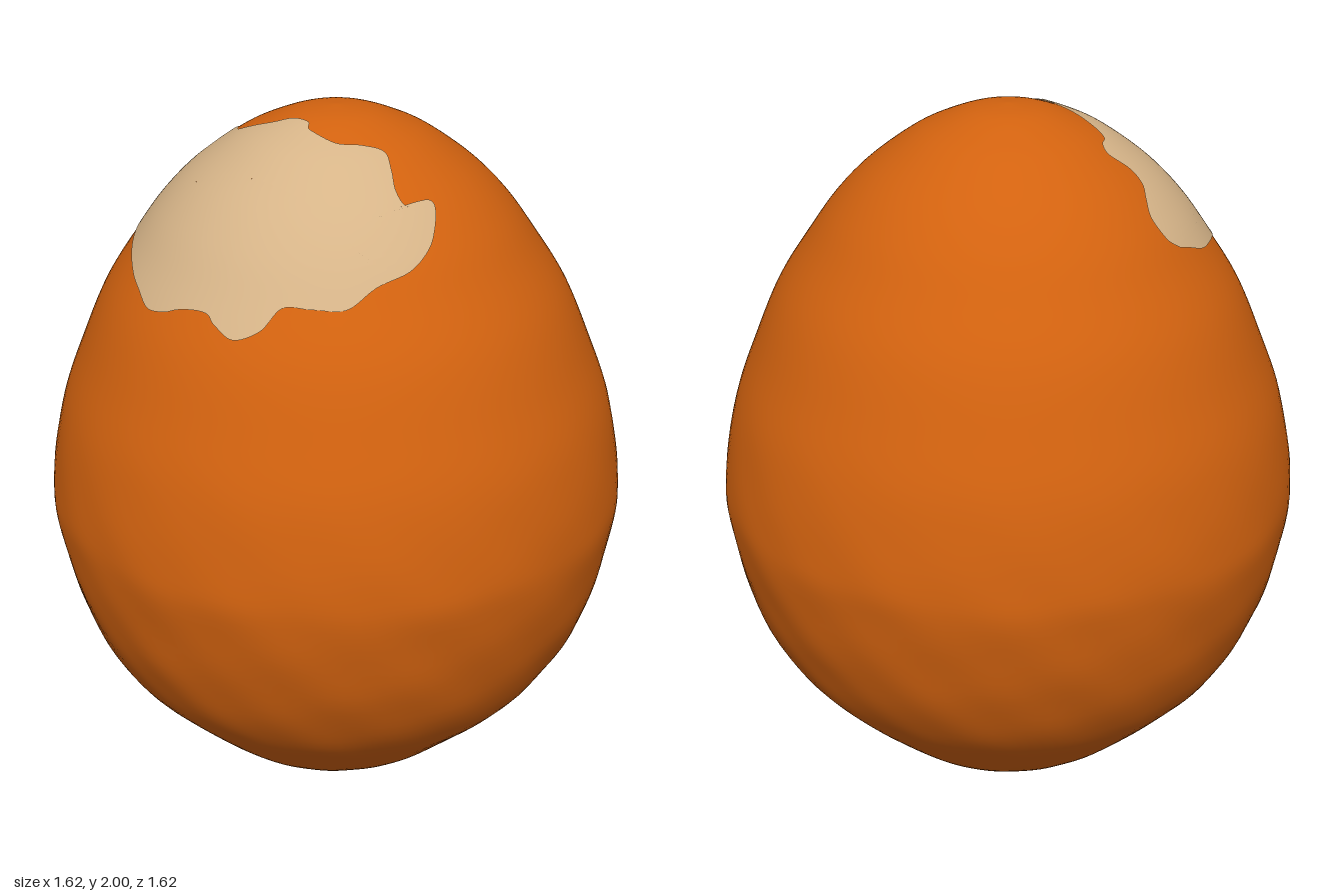
import * as THREE from 'three';
import { mergeVertices } from 'three/addons/utils/BufferGeometryUtils.js';

const toVectors = (pairs) => pairs.map(([a, b]) => new THREE.Vector2(a, b));

// Egg profile: radius, height
const profile = new THREE.SplineCurve(toVectors([
  [0, 0], [0.12, 0.008], [0.22, 0.035], [0.34, 0.1], [0.47, 0.21], [0.65, 0.4],
  [0.75, 0.6], [0.802, 0.83], [0.804, 0.97], [0.767, 1.17], [0.705, 1.34],
  [0.635, 1.5], [0.545, 1.64], [0.475, 1.737], [0.39, 1.825], [0.28, 1.908],
  [0.2, 1.951], [0.1, 1.988], [0, 2],
])).getPoints(108);

// Patch outline seen from above: x, z
const outline = new THREE.SplineCurve(toVectors([
  [-0.49, 0.16], [-0.48, 0.12], [-0.44, 0.1], [-0.4, 0.12], [-0.36, 0.145], [-0.32, 0.14],
  [-0.28, 0.1], [-0.245, 0.11], [-0.21, 0.145], [-0.105, 0.145], [-0.045, 0.125], [0.01, 0.13],
  [0.035, 0.155], [0.12, 0.16], [0.175, 0.12], [0.225, 0.09], [0.27, 0.12], [0.31, 0.155],
  [0.35, 0.16], [0.365, 0.1], [0.385, 0.09], [0.415, 0.13], [0.435, 0.185], [0.43, 0.26],
  [0.39, 0.345], [0.355, 0.42], [0.285, 0.47], [0.22, 0.505], [0.19, 0.555], [0.13, 0.59],
  [0.065, 0.585], [0.03, 0.575], [-0.055, 0.58], [-0.105, 0.585], [-0.17, 0.575],
  [-0.235, 0.535], [-0.295, 0.49], [-0.365, 0.42], [-0.43, 0.335], [-0.47, 0.26], [-0.49, 0.16],
])).getPoints(240);

// Height of the upper egg surface at a given radius
function topHeight(r) {
  for (let i = profile.length - 1; i > 0; i--) {
    const a = profile[i], b = profile[i - 1];
    if (r <= b.x) return THREE.MathUtils.mapLinear(r, a.x, b.x, a.y, b.y);
  }
  return 1;
}

// Shallow uneven dents, strongest around the lower half
function bump(angle, y) {
  const fade = 1 - THREE.MathUtils.smoothstep(y, 0.5, 1.4);
  const waves = Math.sin(5 * angle + 7 * y) * Math.sin(9 * y + 2 * angle)
    + 0.6 * Math.sin(11 * angle - 13 * y) * Math.sin(17 * y + 3 * angle)
    + 0.4 * Math.sin(19 * angle + 23 * y);
  return 1 + 0.004 * fade * waves;
}

function eggGeometry() {
  const lathe = new THREE.LatheGeometry(profile, 120);
  lathe.deleteAttribute('uv');
  lathe.deleteAttribute('normal');
  const geometry = mergeVertices(lathe, 1e-5);
  const p = geometry.attributes.position;
  for (let i = 0; i < p.count; i++) {
    const x = p.getX(i), y = p.getY(i), z = p.getZ(i);
    const k = bump(Math.atan2(x, z), y);
    p.setXYZ(i, x * k, y, z * k);
  }
  geometry.computeVertexNormals();
  return geometry;
}

// Loops running from the outline to a central spine, laid on the egg
function patchGeometry() {
  const rings = 16, n = outline.length - 1, lift = 1.004;
  const positions = [], index = [];
  for (let j = 0; j <= rings; j++) {
    for (let i = 0; i < n; i++) {
      const t = j / rings, o = outline[i];
      const x = THREE.MathUtils.lerp(o.x, o.x * 0.8, t);
      const z = THREE.MathUtils.lerp(o.y, 0.33, t);
      const y = topHeight(Math.hypot(x, z));
      positions.push(x * lift, 1 + (y - 1) * lift, z * lift);
      if (j === rings) continue;
      const a = j * n + i, b = j * n + (i + 1) % n;
      index.push(a, a + n, b, b, a + n, b + n);
    }
  }
  const geometry = new THREE.BufferGeometry();
  geometry.setAttribute('position', new THREE.Float32BufferAttribute(positions, 3));
  geometry.setIndex(index);
  geometry.computeVertexNormals();
  // Make the faces point up and out
  if (geometry.attributes.normal.getY(n * 4) < 0) {
    geometry.setIndex(index.reverse());
    geometry.computeVertexNormals();
  }
  return geometry;
}

export function createModel() {
  const shellOrange = new THREE.MeshStandardMaterial({ color: 0xd2620f });
  const patchTan = new THREE.MeshStandardMaterial({ color: 0xd6b488, side: THREE.DoubleSide });
  shellOrange.name = 'shell orange';
  patchTan.name = 'patch tan';

  const shell = new THREE.Mesh(eggGeometry(), shellOrange);
  shell.name = 'shell';
  const patch = new THREE.Mesh(patchGeometry(), patchTan);
  patch.name = 'palePatch';

  const group = new THREE.Group();
  group.name = 'egg';
  group.add(shell, patch);
  return group;
}
